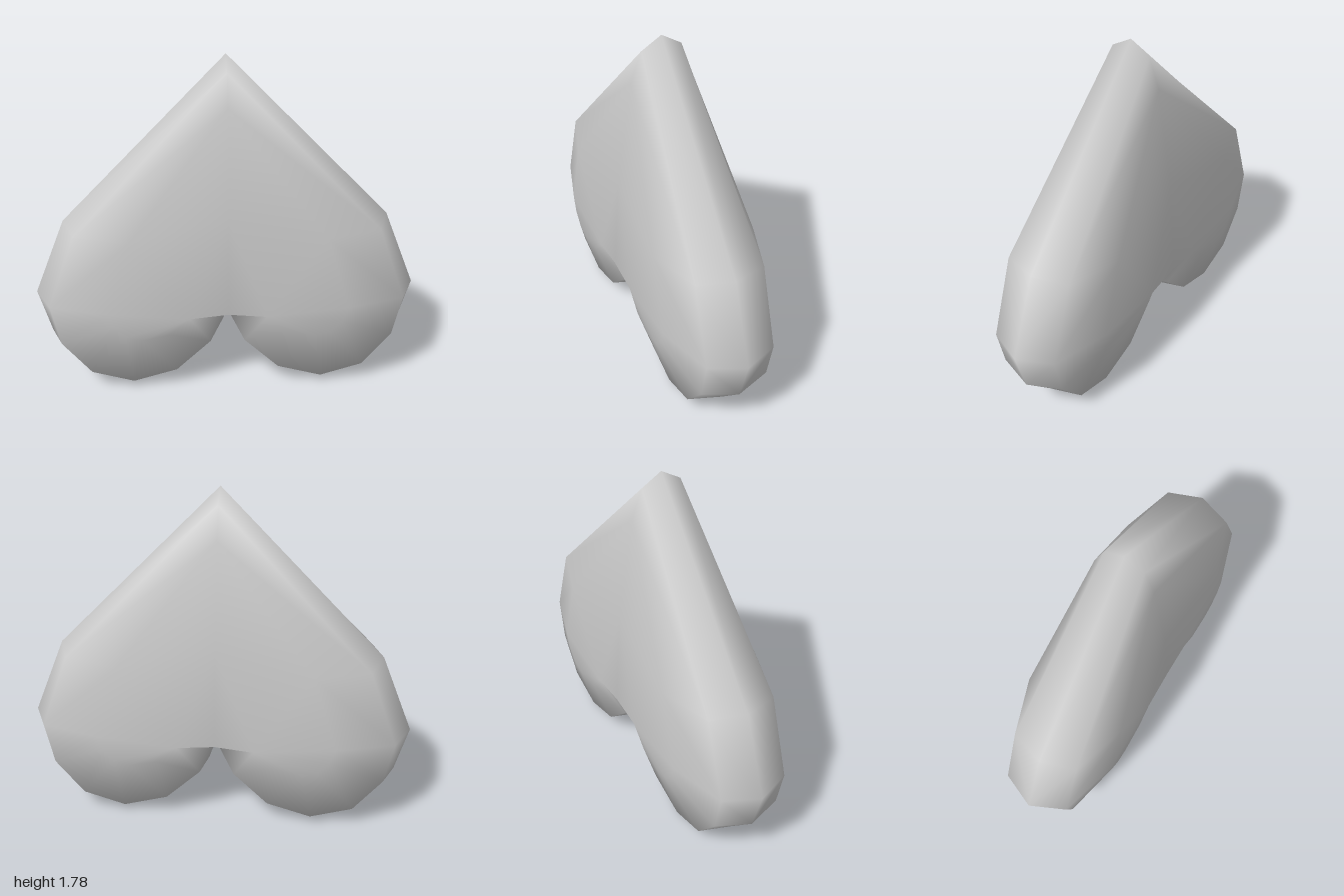
import * as THREE from 'three';
import { mergeVertices } from 'three/addons/utils/BufferGeometryUtils.js';

// Half outlines, from the tip down the outer side and back up to the cleft
const RIM = [[0, 1.785, 0], [0.84, 0.91, 0], [1, 0.5, 0], [0.93, 0.26, 0], [0.75, 0.07, 0],
  [0.5, 0, 0], [0.25, 0.07, 0], [0.06, 0.26, 0], [0, 0.45, 0]];
const SHOULDER = [[0, 1.72, 0.105], [0.78, 0.9, 0.18], [0.92, 0.5, 0.18], [0.87, 0.28, 0.18], [0.72, 0.1, 0.18],
  [0.5, 0.035, 0.18], [0.27, 0.1, 0.18], [0.09, 0.27, 0.18], [0, 0.46, 0.18]];
const FACE = [[0, 1.56, 0.16], [0.5, 0.9, 0.27], [0.62, 0.5, 0.27], [0.59, 0.42, 0.27], [0.53, 0.36, 0.27],
  [0.45, 0.34, 0.27], [0.3, 0.37, 0.27], [0.2, 0.46, 0.27], [0, 0.48, 0.27]];
const DIP = [0, 1, 0.24];

// Triangles of one quarter: two bands around the edge and the nearly flat cap
function quarterTriangles() {
  const tris = [];
  for (const [outer, inner] of [[RIM, SHOULDER], [SHOULDER, FACE]]) {
    for (let i = 0; i < outer.length - 1; i++) {
      tris.push([outer[i], inner[i], outer[i + 1]], [inner[i], inner[i + 1], outer[i + 1]]);
    }
  }
  tris.push([FACE[0], DIP, FACE[1]], [DIP, FACE[7], FACE[1]], [DIP, FACE[8], FACE[7]]);
  for (let i = 1; i < 6; i++) tris.push([FACE[7], FACE[i + 1], FACE[i]]);
  return tris;
}

export function createModel() {
  const group = new THREE.Group();
  group.name = 'invertedHeart';

  // Mirror the quarter left/right and front/back, flipping the winding where needed
  const positions = [];
  for (const sx of [1, -1]) {
    for (const sz of [1, -1]) {
      for (const tri of quarterTriangles()) {
        const corners = sx * sz > 0 ? tri : [...tri].reverse();
        for (const [x, y, z] of corners) positions.push(sx * x || 0, y, sz * z || 0);
      }
    }
  }
  let geometry = new THREE.BufferGeometry();
  geometry.setAttribute('position', new THREE.Float32BufferAttribute(positions, 3));
  geometry = mergeVertices(geometry);
  geometry.computeVertexNormals();

  const heart = new THREE.Mesh(geometry, new THREE.MeshStandardMaterial({ color: 0xcccccc }));
  heart.name = 'heartBody';
  group.add(heart);
  return group;
}
